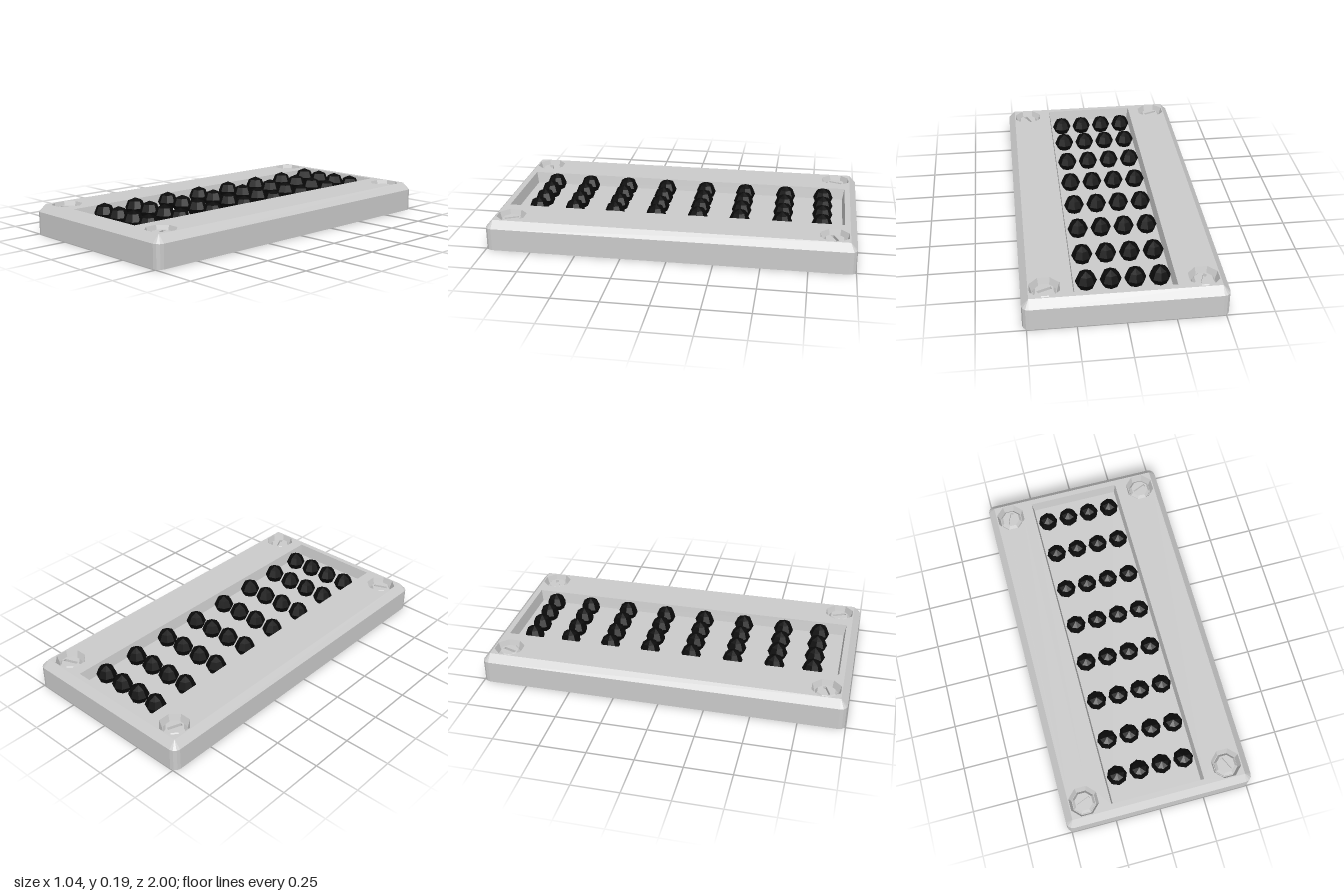
import * as THREE from 'three';
import { mergeGeometries } from 'three/addons/utils/BufferGeometryUtils.js';

const grey = new THREE.MeshStandardMaterial({ color: 0xcccccc, flatShading: true });
const black = new THREE.MeshStandardMaterial({ color: 0x0a0a0a, flatShading: true });

// Outlines are counter-clockwise in a plan where X is right and Y is towards the back (-z).
function roundedRect(halfW, halfD, r = 0, seg = 0) {
  const pts = [];
  [[1, 1], [-1, 1], [-1, -1], [1, -1]].forEach(([sx, sy], q) => {
    for (let i = 0; i <= seg; i++) {
      const a = (q + (seg ? i / seg : 0.5)) * Math.PI / 2;
      pts.push(new THREE.Vector2(sx * (halfW - r) + r * Math.cos(a), sy * (halfD - r) + r * Math.sin(a)));
    }
  });
  return pts;
}

function octagon(r, cx = 0, cy = 0) {
  return Array.from({ length: 8 }, (_, i) => {
    const a = (i + 0.5) * Math.PI / 4;
    return new THREE.Vector2(cx + r * Math.cos(a), cy + r * Math.sin(a));
  });
}

// Walls between stacked outlines: outward going up, inward going down
function loft(rings) {
  const pos = [];
  for (let k = 0; k < rings.length - 1; k++) {
    const [a, ya] = rings[k], [b, yb] = rings[k + 1];
    for (let i = 0; i < a.length; i++) {
      const j = (i + 1) % a.length;
      const p = [a[i].x, ya, -a[i].y], q = [a[j].x, ya, -a[j].y];
      const s = [b[j].x, yb, -b[j].y], t = [b[i].x, yb, -b[i].y];
      pos.push(...p, ...q, ...s, ...p, ...s, ...t);
    }
  }
  const g = new THREE.BufferGeometry();
  g.setAttribute('position', new THREE.Float32BufferAttribute(pos, 3));
  g.computeVertexNormals();
  return g;
}

// Flat horizontal face, optionally with holes
function cap(pts, y, holes = [], down = false) {
  const shape = new THREE.Shape(pts);
  shape.holes = holes.map((h) => new THREE.Path(h));
  const g = new THREE.ShapeGeometry(shape).toNonIndexed();
  g.deleteAttribute('uv');
  return g.rotateX(down ? Math.PI / 2 : -Math.PI / 2).translate(0, y, 0);
}

function add(parent, name, geometry, material = grey) {
  const mesh = new THREE.Mesh(geometry, material);
  mesh.name = name;
  parent.add(mesh);
  return mesh;
}

export function createModel() {
  const model = new THREE.Group();
  model.name = 'buttonPanel';
  const TOP = 0.165, FLOOR = 0.1, HOLE = 0.115;

  // x, z and slot angle of the four corner screws
  const screws = [[-0.4, -0.88, 70], [0.4, -0.88, 22], [-0.4, 0.88, 22], [0.4, 0.88, 115]];

  // Case: rounded corners, chamfered rim, central recess and corner countersinks
  const outer = roundedRect(0.52, 1, 0.037, 3);
  const rim = roundedRect(0.483, 0.963, 0.002, 3);
  const recess = roundedRect(0.26, 0.933);
  const recessFloor = roundedRect(0.25, 0.923);
  const holes = screws.map(([x, z]) => octagon(0.083, x, -z));
  const parts = [
    cap(outer, 0, [], true),
    loft([[outer, 0], [outer, 0.125], [rim, TOP]]),
    cap(rim, TOP, [recess, ...holes]),
    loft([[recess, TOP], [recessFloor, FLOOR]]),
    cap(recessFloor, FLOOR),
  ];
  screws.forEach(([x, z], i) => {
    const base = octagon(0.068, x, -z);
    parts.push(loft([[holes[i], TOP], [base, HOLE]]), cap(base, HOLE));
  });
  add(model, 'case', mergeGeometries(parts));

  // Screws: chamfered octagonal heads with a slot
  screws.forEach(([x, z, deg], i) => {
    const screw = new THREE.Group();
    screw.name = `screw${i + 1}`;
    screw.position.set(x, HOLE, z);
    const turn = THREE.MathUtils.degToRad(deg);
    const slot = roundedRect(0.039, 0.009).map((p) => p.rotateAround(new THREE.Vector2(), turn));
    const low = octagon(0.064), high = octagon(0.05);
    add(screw, 'screwHead', mergeGeometries([
      loft([[low, 0], [low, 0.015], [high, 0.033]]),
      cap(high, 0.033, [slot]),
      loft([[slot, 0.033], [slot, 0.016]]),
      cap(slot, 0.016),
    ]));
    model.add(screw);
  });

  // Buttons: eight rows of four faceted beads
  const bead = new THREE.SphereGeometry(0.056, 8, 4);
  const rows = [-0.81, -0.593, -0.358, -0.125, 0.11, 0.345, 0.577, 0.785];
  const buttons = new THREE.Group();
  buttons.name = 'buttons';
  for (const z of rows) {
    for (let c = 0; c < 4; c++) {
      add(buttons, 'button', bead, black).position.set(-0.189 + c * 0.1255, 0.134, z);
    }
  }
  model.add(buttons);
  return model;
}
